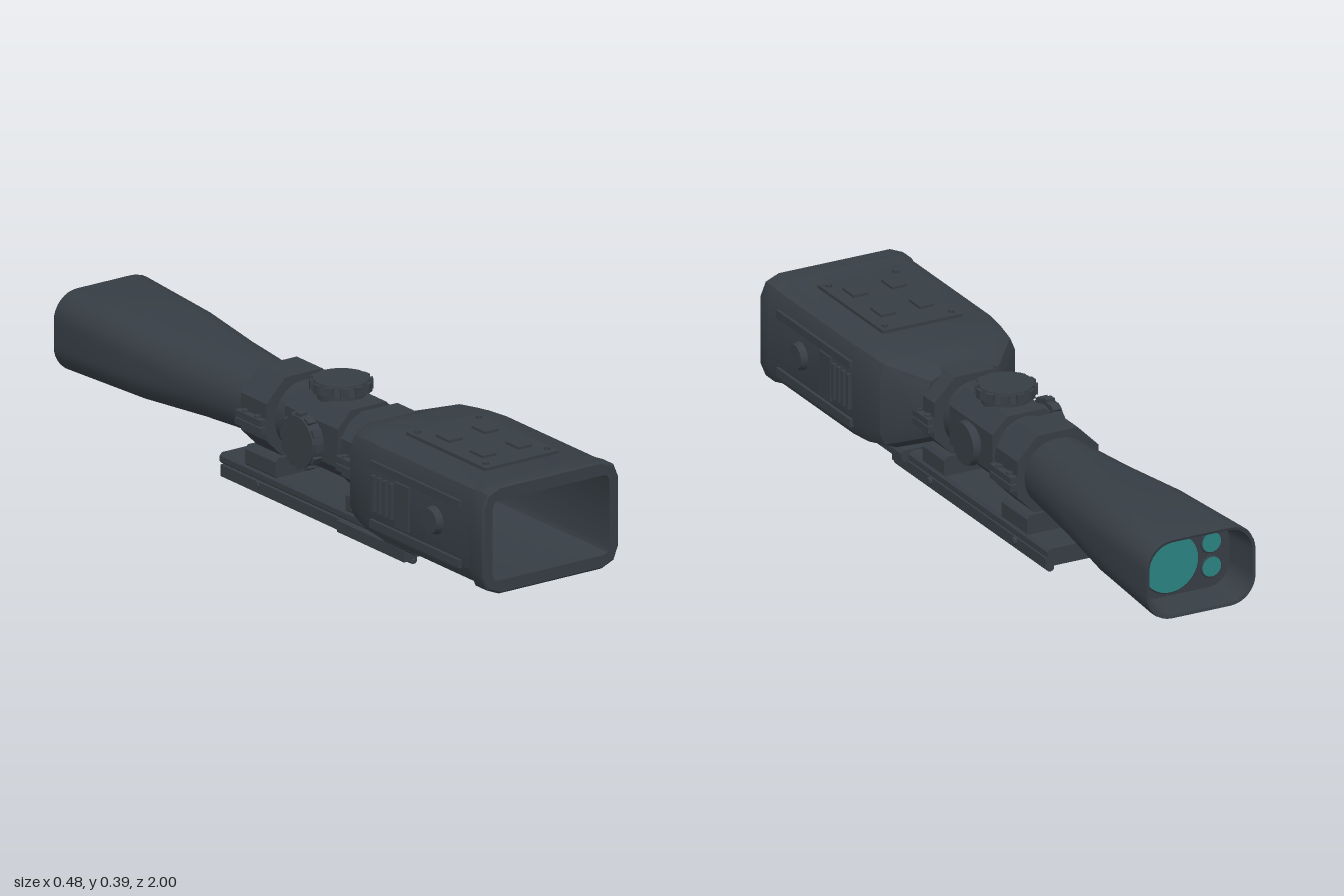
import * as THREE from 'three';
import { toCreasedNormals } from 'three/addons/utils/BufferGeometryUtils.js';

const shellMat = new THREE.MeshStandardMaterial({ color: 0x363d44 });
shellMat.name = 'dark slate';
const lensMat = new THREE.MeshStandardMaterial({ color: 0x2a8482 });
lensMat.name = 'teal glass';

const CY = 0.228; // height of the optical axis

// Rounded rectangle, counter-clockwise; k = 1 gives chamfered corners
function roundRect(hw, y0, y1, r, k) {
  const pts = [], cy = (y0 + y1) / 2, hh = (y1 - y0) / 2;
  const rr = Math.min(r, hw * 0.98, hh * 0.98);
  [[1, 1], [-1, 1], [-1, -1], [1, -1]].forEach(([sx, sy], q) => {
    for (let i = 0; i <= k; i++) {
      const a = (q + i / k) * Math.PI / 2;
      pts.push([sx * (hw - rr) + rr * Math.cos(a), cy + sy * (hh - rr) + rr * Math.sin(a)]);
    }
  });
  return pts;
}

// Skin through sections [z, halfWidth, yBottom, yTop, cornerRadius]
function loft(sections, k, crease = 0.6) {
  const rings = sections.map(([z, hw, y0, y1, r]) => roundRect(hw, y0, y1, r, k).map(([x, y]) => [x, y, z]));
  const pos = [], n = rings[0].length;
  for (let i = 0; i + 1 < rings.length; i++) {
    for (let j = 0; j < n; j++) {
      const m = (j + 1) % n;
      const a = rings[i][j], b = rings[i][m], c = rings[i + 1][m], d = rings[i + 1][j];
      pos.push(...a, ...b, ...c, ...a, ...c, ...d);
    }
  }
  const g = new THREE.BufferGeometry();
  g.setAttribute('position', new THREE.Float32BufferAttribute(pos, 3));
  return toCreasedNormals(g, crease);
}

// Closed prism along z with rounded or chamfered corners
function prism(z0, z1, hw, y0, y1, r, k = 1) {
  const m = (y0 + y1) / 2, e = 0.0005;
  return loft([[z0, e, m - e, m + e, e], [z0, hw, y0, y1, r], [z1, hw, y0, y1, r], [z1, e, m - e, m + e, e]], k);
}

export function createModel() {
  const model = new THREE.Group();
  model.name = 'riflescope';

  const add = (name, geo, x = 0, y = 0, z = 0, mat = shellMat, parent = model) => {
    const mesh = new THREE.Mesh(geo, mat);
    mesh.name = name;
    mesh.position.set(x, y, z);
    parent.add(mesh);
    return mesh;
  };
  const box = (name, x0, x1, y0, y1, z0, z1) =>
    add(name, new THREE.BoxGeometry(x1 - x0, y1 - y0, z1 - z0), (x0 + x1) / 2, (y0 + y1) / 2, (z0 + z1) / 2);

  // Hollow front housing: outer skin, front frame, then the inner skin back to the tail
  add('housing', loft([
    [0.285, 0.115, 0.145, 0.333, 0.05],
    [0.38, 0.203, 0.105, 0.362, 0.05],
    [0.45, 0.212, 0.09, 0.37, 0.05],
    [0.52, 0.219, 0.088, 0.372, 0.05],
    [0.935, 0.219, 0.088, 0.372, 0.05],
    [0.945, 0.222, 0.077, 0.377, 0.055],
    [0.995, 0.222, 0.077, 0.377, 0.055],
    [1.0, 0.217, 0.082, 0.372, 0.053],
    [1.0, 0.19, 0.115, 0.338, 0.018],
    [0.45, 0.19, 0.112, 0.34, 0.03],
    [0.38, 0.185, 0.118, 0.338, 0.04],
    [0.285, 0.108, 0.152, 0.328, 0.05],
    [0.285, 0.115, 0.145, 0.333, 0.05],
  ], 2, 0.5));

  // Button pad on the housing roof
  box('buttonPad', -0.12, 0.12, 0.365, 0.381, 0.515, 0.87);
  for (const x of [-0.058, 0.058]) {
    for (const z of [0.625, 0.775]) box('button', x - 0.022, x + 0.022, 0.375, 0.388, z - 0.03, z + 0.03);
  }
  for (const x of [-0.1, 0.1]) {
    for (const z of [0.54, 0.845]) add('padScrew', new THREE.CylinderGeometry(0.009, 0.009, 0.012, 10), x, 0.382, z);
  }

  // Housing side details, mirrored
  for (const s of [-1, 1]) {
    const side = (name, out, y0, y1, z0, z1) =>
      box(name, Math.min(s * 0.21, s * out), Math.max(s * 0.21, s * out), y0, y1, z0, z1);
    side('upperSideStrip', 0.228, 0.297, 0.32, 0.5, 0.9);
    side('lowerSideStrip', 0.228, 0.132, 0.155, 0.5, 0.9);
    side('sidePanel', 0.226, 0.165, 0.29, 0.61, 0.67);
    for (let i = 0; i < 4; i++) side('sideRib', 0.229, 0.18, 0.28, 0.507 + i * 0.026, 0.52 + i * 0.026);
    const cap = add('sideButton', new THREE.CylinderGeometry(0.034, 0.042, 0.028, 24), s * 0.224, 0.232, 0.78);
    cap.rotation.z = -s * Math.PI / 2;
  }

  // Main tube and the octagonal turret block
  const tube = add('mainTube', new THREE.CylinderGeometry(0.095, 0.095, 0.6, 40), 0, CY, 0.045);
  tube.rotation.x = Math.PI / 2;
  add('turretBlock', prism(-0.05, 0.185, 0.102, 0.135, 0.333, 0.045));

  // Flared rear bell: recess floor, recess wall, rim, outer skin
  add('rearBell', loft([
    [-0.9, 0.0005, CY - 0.0005, CY + 0.0005, 0.0005],
    [-0.9, 0.14, 0.134, 0.322, 0.065],
    [-0.998, 0.155, 0.124, 0.332, 0.07],
    [-1.0, 0.163, 0.116, 0.339, 0.075],
    [-0.99, 0.165, 0.115, 0.341, 0.075],
    [-0.68, 0.151, 0.119, 0.336, 0.085],
    [-0.45, 0.126, 0.128, 0.328, 0.095],
    [-0.2, 0.098, 0.134, 0.322, 0.094],
  ], 8));

  // Rear lenses in the recess
  for (const [name, x, y, r] of [['mainLens', 0.04, CY, 0.083], ['upperSensor', -0.084, CY + 0.035, 0.028], ['lowerSensor', -0.084, CY - 0.035, 0.028]]) {
    const rim = add(name + 'Rim', new THREE.TorusGeometry(r, 0.004, 6, 40), x, y, -0.901);
    rim.rotation.y = Math.PI;
    const lens = add(name, new THREE.CylinderGeometry(r, r, 0.006, 40), x, y, -0.902, lensMat);
    lens.rotation.x = Math.PI / 2;
  }

  // Two mount rings with clamping lugs and feet
  for (const [z0, z1] of [[0.23, 0.325], [-0.22, -0.105]]) {
    add('mountRing', prism(z0, z1, 0.122, 0.115, 0.342, 0.062));
    add('ringFoot', prism(z0 - 0.012, z1 + 0.01, 0.1, 0.065, 0.125, 0.01));
    for (const s of [-1, 1]) {
      for (const y of [0.206, 0.228]) box('clampLug', s * 0.125 - 0.017, s * 0.125 + 0.017, y - 0.009, y + 0.009, z0, z1);
      for (const t of [0.25, 0.75]) {
        add('clampScrew', new THREE.CylinderGeometry(0.01, 0.01, 0.05, 10), s * 0.128, 0.217, z0 + (z1 - z0) * t);
      }
    }
  }

  // Adjustment knobs, built pointing up
  const knob = (name, r, h, bumps) => {
    const g = new THREE.Group();
    g.name = name;
    add('knobNeck', new THREE.CylinderGeometry(r * 0.78, r * 0.78, 0.04, 28), 0, -0.005, 0, shellMat, g);
    add('knobCap', new THREE.CylinderGeometry(r * 0.88, r * 0.94, h, 28), 0, 0.012 + h / 2, 0, shellMat, g);
    for (let i = 0; i < bumps; i++) {
      const a = i / bumps * Math.PI * 2;
      const b = add('knobGrip', new THREE.BoxGeometry(r * 0.16, h * 0.85, r * 0.27), Math.cos(a) * r * 0.91, 0.012 + h * 0.45, Math.sin(a) * r * 0.91, shellMat, g);
      b.rotation.y = -a;
    }
    model.add(g);
    return g;
  };
  knob('topKnob', 0.085, 0.03, 12).position.set(0, 0.335, 0.062);
  const gripKnob = knob('rightKnob', 0.08, 0.03, 12);
  gripKnob.position.set(-0.103, CY, 0.062);
  gripKnob.rotation.z = Math.PI / 2;
  const plainKnob = knob('leftKnob', 0.066, 0.018, 0);
  plainKnob.position.set(0.1, CY, 0.062);
  plainKnob.rotation.z = -Math.PI / 2;

  // Mounting rail with front stop, side clamp and feet
  add('railStop', prism(0.41, 0.555, 0.122, 0.043, 0.076, 0.008));
  add('railPlate', prism(-0.345, 0.45, 0.1, 0.04, 0.071, 0.008));
  box('railCore', -0.09, 0.09, 0.017, 0.045, -0.335, 0.5);
  box('railRightJaw', -0.115, -0.085, 0.01, 0.042, 0.2, 0.5);
  box('railRightJaw', -0.105, -0.085, 0.01, 0.042, -0.335, 0.2);
  box('railLeftJaw', 0.085, 0.1, 0.015, 0.042, -0.335, 0.5);
  for (const s of [-1, 1]) {
    const foot = add('railFoot', prism(-0.33, 0.5, 0.011, 0.0, 0.026, 0.006), s * 0.083);
    foot.name = s > 0 ? 'leftRailFoot' : 'rightRailFoot';
    for (const z of [0.29, -0.17]) {
      const bolt = add('railBolt', new THREE.CylinderGeometry(0.011, 0.011, 0.02, 12), s * 0.1, 0.032, z);
      bolt.rotation.z = Math.PI / 2;
    }
  }

  return model;
}
